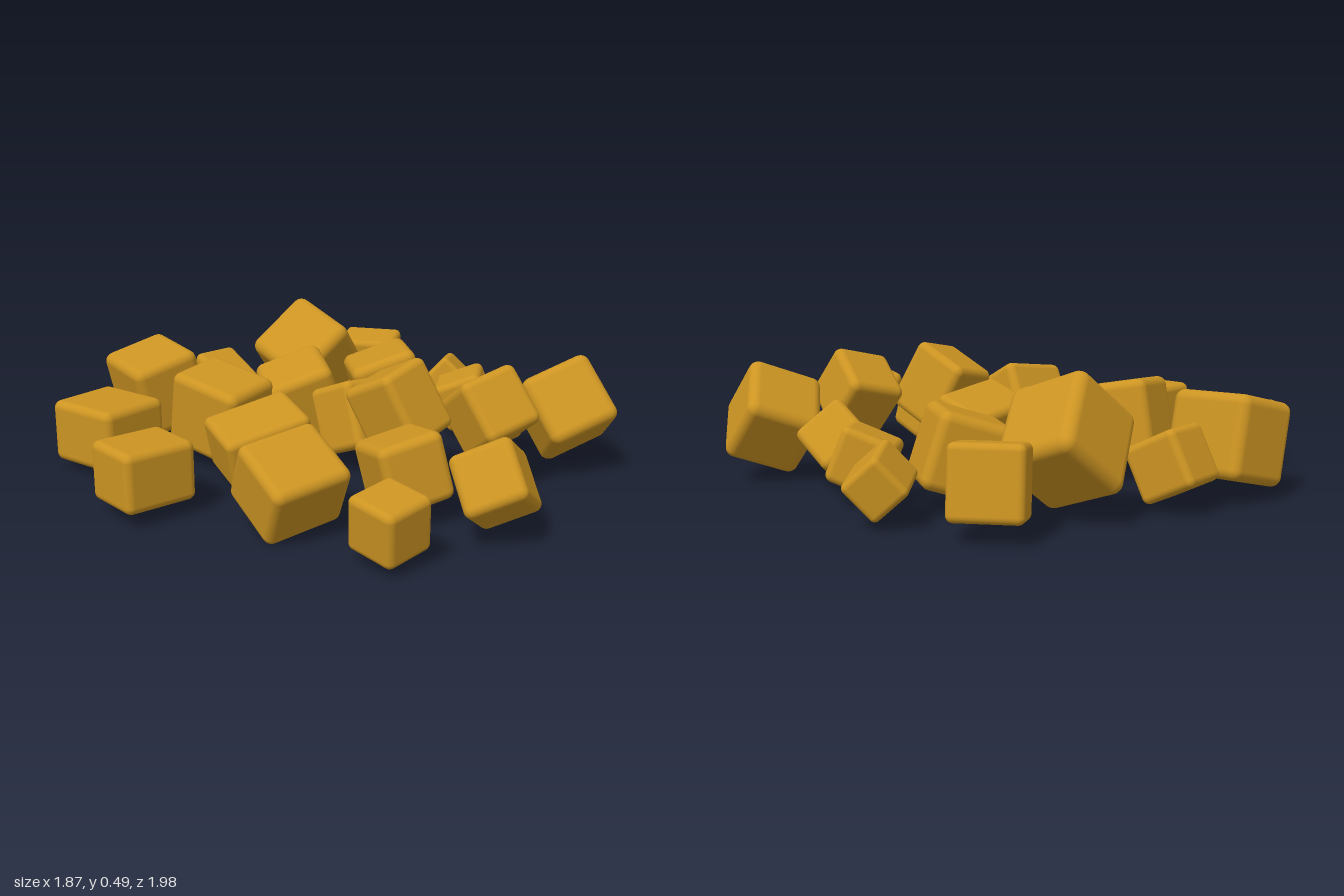
import * as THREE from 'three';
import { RoundedBoxGeometry } from 'three/addons/geometries/RoundedBoxGeometry.js';

const GROUND_GAP = 0.04;

export function createModel() {
  const model = new THREE.Group();
  model.name = 'scatteredChunks';
  const amber = new THREE.MeshStandardMaterial({ color: 0xcc9422 });
  amber.name = 'amber';

  // Softly rounded block, turned in degrees and set down on its lowest point
  function addBlock(name, x, z, size, yaw, pitch = 0, roll = 0, lift = 0) {
    const radius = Math.min(...size) * 0.13;
    const block = new THREE.Mesh(new RoundedBoxGeometry(...size, 4, radius), amber);
    block.name = name;
    const [p, t, r] = [pitch, yaw, roll].map(THREE.MathUtils.degToRad);
    block.rotation.set(p, t, r, 'YXZ');

    // Height of the centre above the lowest point of the turned block
    const up = [Math.cos(p) * Math.sin(r), Math.cos(p) * Math.cos(r), Math.sin(p)];
    const reach = up.reduce((sum, c, i) => sum + Math.abs(c) * (size[i] / 2 - radius), radius);
    block.position.set(x, GROUND_GAP + lift + reach, z);
    model.add(block);
  }

  // Cubes: x, z, side, yaw, pitch, roll, lift
  [
    [0.38, -0.59, 0.305, 2, 20, 42],
    [0.07, -0.3, 0.265, -30, 10, 19],
    [0.475, -0.23, 0.265, -35, 0, 18],
    [0.64, 0.05, 0.195, 35, -22, 3],
    [0.54, 0.275, 0.2, 55, 39, 46, -0.02],
    [-0.2, 0.5, 0.235, -22, -9, 11],
    [0.225, 0.51, 0.23, -22, -34, 16, 0.09],
    [0.595, 0.565, 0.27, -43, -34, 25],
    [-0.125, 0.825, 0.215, 36, -25, -35],
    [-0.51, 0.73, 0.19, 0, 7, 7],
  ].forEach(([x, z, side, ...turn], i) =>
    addBlock(`cube${i + 1}`, x, z, [side, side, side], ...turn));

  // Oblong blocks: x, z, width, height, depth, yaw, pitch, roll, lift
  [
    [-0.605, -0.62, 0.28, 0.23, 0.305, 8],
    [-0.79, -0.14, 0.27, 0.21, 0.235, -4, 0, 0, 0.02],
    [-0.24, -0.82, 0.27, 0.29, 0.32, -10, 3, 14],
    [0.065, -0.785, 0.19, 0.2, 0.21, 0, 27],
    [0.71, -0.55, 0.18, 0.24, 0.24, 31, 0, 9, 0.02],
    [-0.28, -0.36, 0.25, 0.29, 0.3, 12, 11, 5],
    [0.8, -0.18, 0.21, 0.16, 0.16, 27, 42, -10],
    [-0.345, -0.06, 0.32, 0.2, 0.25, -18, 9, 13],
    [0.1, 0.01, 0.31, 0.25, 0.21, 3, -22, -6],
    [-0.55, 0.325, 0.29, 0.24, 0.26, -6, 29, 8, -0.03],
    [0, 0.285, 0.22, 0.27, 0.235, 0, -25, 12, 0.09],
  ].forEach(([x, z, width, height, depth, ...turn], i) =>
    addBlock(`oblong${i + 1}`, x, z, [width, height, depth], ...turn));

  return model;
}
